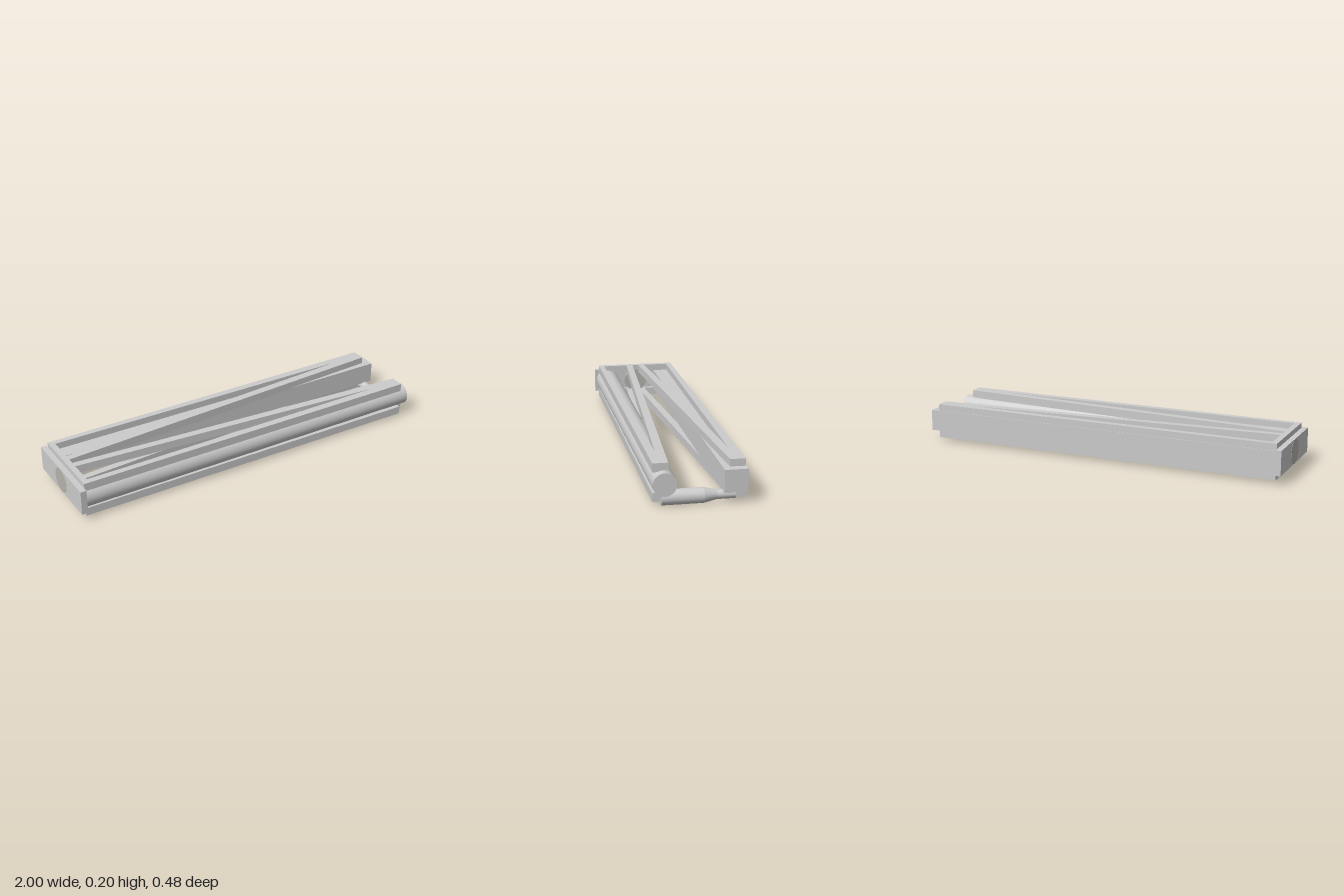
import * as THREE from 'three';

const grey = new THREE.MeshStandardMaterial({ color: 0xcccccc });
const tinted = new THREE.MeshStandardMaterial({ color: 0xb5b4ac });

const points = (list) => list.map(([x, z]) => new THREE.Vector2(x, z));

export function createModel() {
  const model = new THREE.Group();

  const add = (name, geometry, x, y, z, material = grey) => {
    const mesh = new THREE.Mesh(geometry, material);
    mesh.name = name;
    mesh.position.set(x, y, z);
    model.add(mesh);
    return mesh;
  };

  // Flat frame: two side rails with slanted braces, open at the +x end
  const frame = new THREE.Shape(points([
    [-0.97, -0.22], [0.955, -0.22], [0.955, -0.145], [-0.94, -0.018],
    [-0.94, 0.018], [0.955, 0.145], [0.955, 0.22], [-0.97, 0.22],
  ]));
  for (const s of [-1, 1]) {
    frame.holes.push(new THREE.Path(points([
      [-0.94, s * 0.19], [0.775, s * 0.177], [-0.94, s * 0.054],
    ])));
  }
  const frameGeometry = new THREE.ExtrudeGeometry(frame, { depth: 0.043, bevelEnabled: false });
  frameGeometry.rotateX(Math.PI / 2);
  add('topFrame', frameGeometry, 0, 0.205, 0);
  add('bottomFrame', frameGeometry, 0, 0.061, 0);

  // End plate with a round plug through it
  add('endPlate', new THREE.BoxGeometry(0.032, 0.13, 0.48), -0.984, 0.1125, 0);
  const plug = new THREE.CylinderGeometry(0.065, 0.065, 0.062, 48).rotateZ(-Math.PI / 2);
  add('endPlug', plug, -0.97, 0.1125, 0, tinted);

  // Long members held between the frames: a tapered tube and a square bar
  const tube = new THREE.CylinderGeometry(0.057, 0.065, 1.97, 48).rotateZ(-Math.PI / 2);
  add('frontTube', tube, 0.015, 0.1125, 0.169);
  add('backBar', new THREE.BoxGeometry(1.97, 0.113, 0.113), 0.015, 0.1125, -0.1675);

  // Stepped cylinder lying across the open end
  const addSection = (name, rFront, rBack, zFront, zBack) => {
    const section = new THREE.CylinderGeometry(rFront, rBack, zFront - zBack, 40).rotateX(Math.PI / 2);
    add(name, section, 0.955, 0.038, (zFront + zBack) / 2);
  };
  addSection('crossBody', 0.037, 0.037, 0.182, -0.02);
  addSection('crossTaper', 0.037, 0.023, -0.02, -0.083);
  addSection('crossStem', 0.023, 0.023, -0.083, -0.17);

  return model;
}
